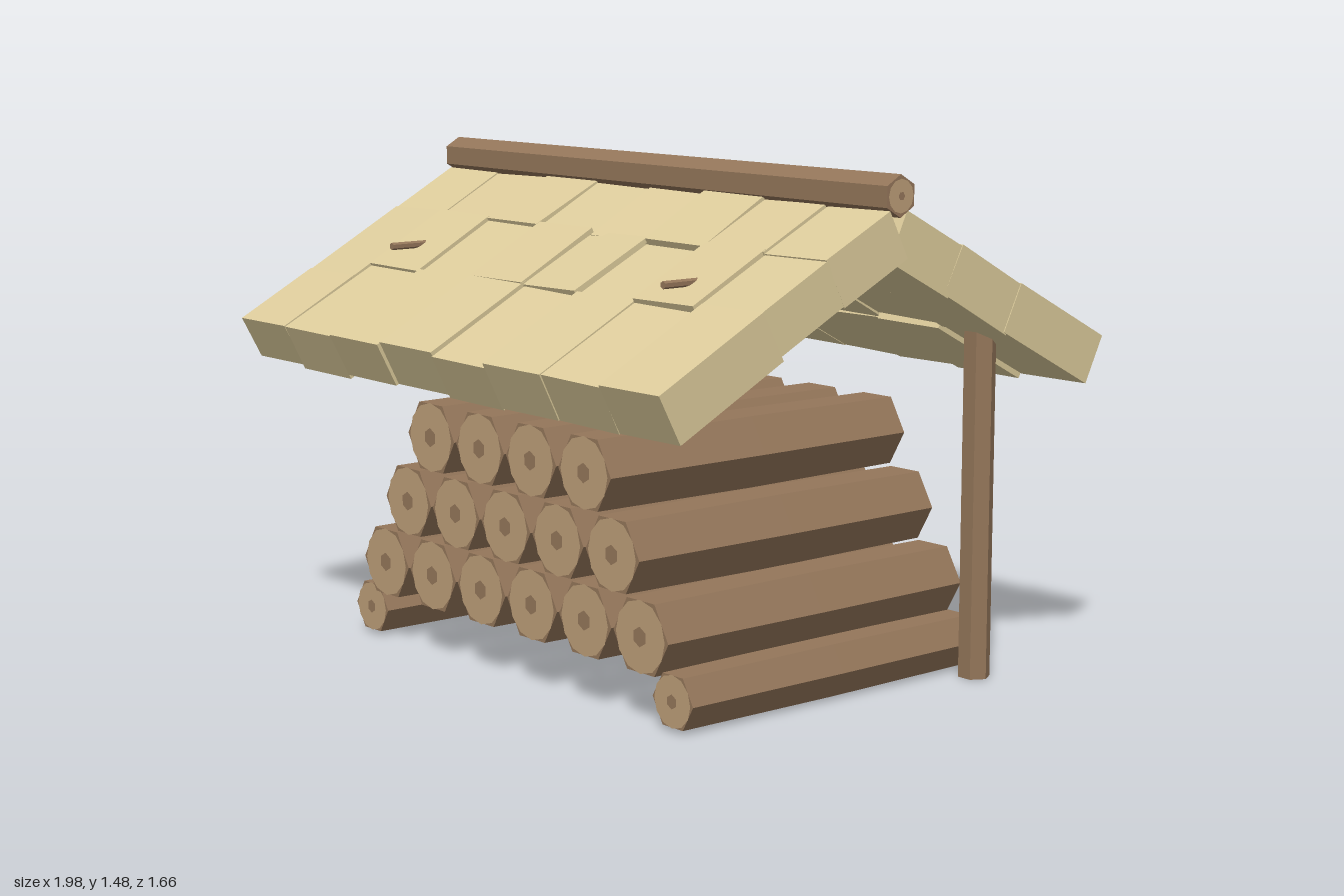
import * as THREE from 'three';

const straw = new THREE.MeshStandardMaterial({ color: 0xdccb9b, flatShading: true });
straw.name = 'straw';
const bark = new THREE.MeshStandardMaterial({ color: 0x94765a, flatShading: true });
bark.name = 'bark';
const cutWood = new THREE.MeshStandardMaterial({ color: 0xbc9e78, flatShading: true });
cutWood.name = 'cutWood';

// Small seeded generator giving values in -1..1
let seed = 7;
const jitter = () => {
  seed = (seed * 16807) % 2147483647;
  return (seed / 2147483647) * 2 - 1;
};

function add(parent, name, geometry, material, x = 0, y = 0, z = 0) {
  const mesh = new THREE.Mesh(geometry, material);
  mesh.name = name;
  mesh.position.set(x, y, z);
  parent.add(mesh);
  return mesh;
}

// Six-sided pole with a slight swelling at the middle
function poleGeometry(radius, length, swell = 1) {
  const g = new THREE.CylinderGeometry(radius, radius, length, 6, 2, false, Math.PI / 2);
  const p = g.attributes.position;
  for (let i = 0; i < p.count; i++) {
    if (Math.abs(p.getY(i)) < 0.001) p.setXYZ(i, p.getX(i) * swell, 0, p.getZ(i) * swell);
  }
  return g;
}

// Log lying along z, with a pale cut face and dark heart at each end
function addLog(parent, x, y, radius, zFront, zBack) {
  const log = new THREE.Group();
  log.name = 'log';
  const length = zFront - zBack;
  log.position.set(x, y, (zFront + zBack) / 2);
  const body = add(log, 'logBark', poleGeometry(radius * 0.965, length, 1.036), bark);
  body.rotation.x = Math.PI / 2;
  for (const side of [1, -1]) {
    const end = add(log, 'cutFace', new THREE.CircleGeometry(radius * 0.86, 12), cutWood, 0, 0, side * (length / 2 + 0.002));
    const heart = add(log, 'heartwood', new THREE.CircleGeometry(radius * 0.24, 6, Math.PI / 6), bark, 0, 0, side * (length / 2 + 0.004));
    if (side < 0) end.rotation.y = heart.rotation.y = Math.PI;
  }
  parent.add(log);
}

// One roof slope of overlapping straw bundles: 8 columns by 3 rows
function addSlope(parent, side, lowerCuts) {
  const slope = new THREE.Group();
  slope.name = side > 0 ? 'frontRoof' : 'backRoof';
  slope.position.y = 1.32;
  slope.rotation.order = 'YXZ';
  slope.rotation.set(0.485, side > 0 ? 0 : Math.PI, 0);
  lowerCuts.forEach((cut, col) => {
    const x = side * (-0.861 + col * 0.246);
    const stops = [0, 0.255, cut / 0.884, 0.893 + jitter() * 0.005];
    for (let row = 0; row < 3; row++) {
      const start = stops[row] - (row ? 0.015 : 0);
      const length = stops[row + 1] - start;
      const bundle = add(slope, 'strawBundle',
        new THREE.BoxGeometry(0.243, 0.142 + jitter() * 0.008, length), straw,
        x + jitter() * 0.003, jitter() * 0.008, start + length / 2);
      bundle.rotation.set(jitter() * 0.025, jitter() * 0.015, jitter() * 0.03);
    }
  });
  parent.add(slope);
}

export function createModel() {
  const model = new THREE.Group();
  model.name = 'firewoodShelter';

  // Stacked logs on two thin runners
  const rows = [
    { y: 0.245, count: 6 },
    { y: 0.45, count: 5 },
    { y: 0.658, count: 4 },
  ];
  for (const { y, count } of rows) {
    for (let i = 0; i < count; i++) addLog(model, (i - (count - 1) / 2) * 0.239, y, 0.119, 0.57, -0.548);
  }
  for (const side of [-1, 1]) addLog(model, side * 0.707, 0.085, 0.086, 0.55, -0.548);

  // Rear posts poking through the roof, and thin cross rods
  for (const side of [-1, 1]) {
    const height = side > 0 ? 1.155 : 1.145;
    add(model, 'post', poleGeometry(0.047, height), bark, side * 0.827, height / 2, -0.488);
    const rod = add(model, 'crossRod', new THREE.CylinderGeometry(0.011, 0.011, 1.03, 6), bark, side * 0.625, 1.193, 0);
    rod.rotation.x = Math.PI / 2;
  }

  // Roof slopes, listed left to right as seen from the front
  addSlope(model, 1, [0.55, 0.48, 0.49, 0.47, 0.47, 0.48, 0.47, 0.46]);
  addSlope(model, -1, [0.55, 0.48, 0.48, 0.5, 0.47, 0.48, 0.46, 0.46]);

  // Ridge pole with cut ends
  const ridge = add(model, 'ridgePole', new THREE.CylinderGeometry(0.055, 0.058, 1.976, 6), bark, 0, 1.423, 0);
  ridge.rotation.z = Math.PI / 2;
  ridge.rotation.order = 'ZYX';
  ridge.rotation.y = Math.PI / 6;
  for (const side of [-1, 1]) {
    const end = add(model, 'ridgeCutFace', new THREE.CircleGeometry(0.046, 12), cutWood, side * 0.99, 1.423, 0);
    const heart = add(model, 'ridgeHeart', new THREE.CircleGeometry(0.012, 6), bark, side * 0.992, 1.423, 0);
    end.rotation.y = heart.rotation.y = side * Math.PI / 2;
  }
  return model;
}
